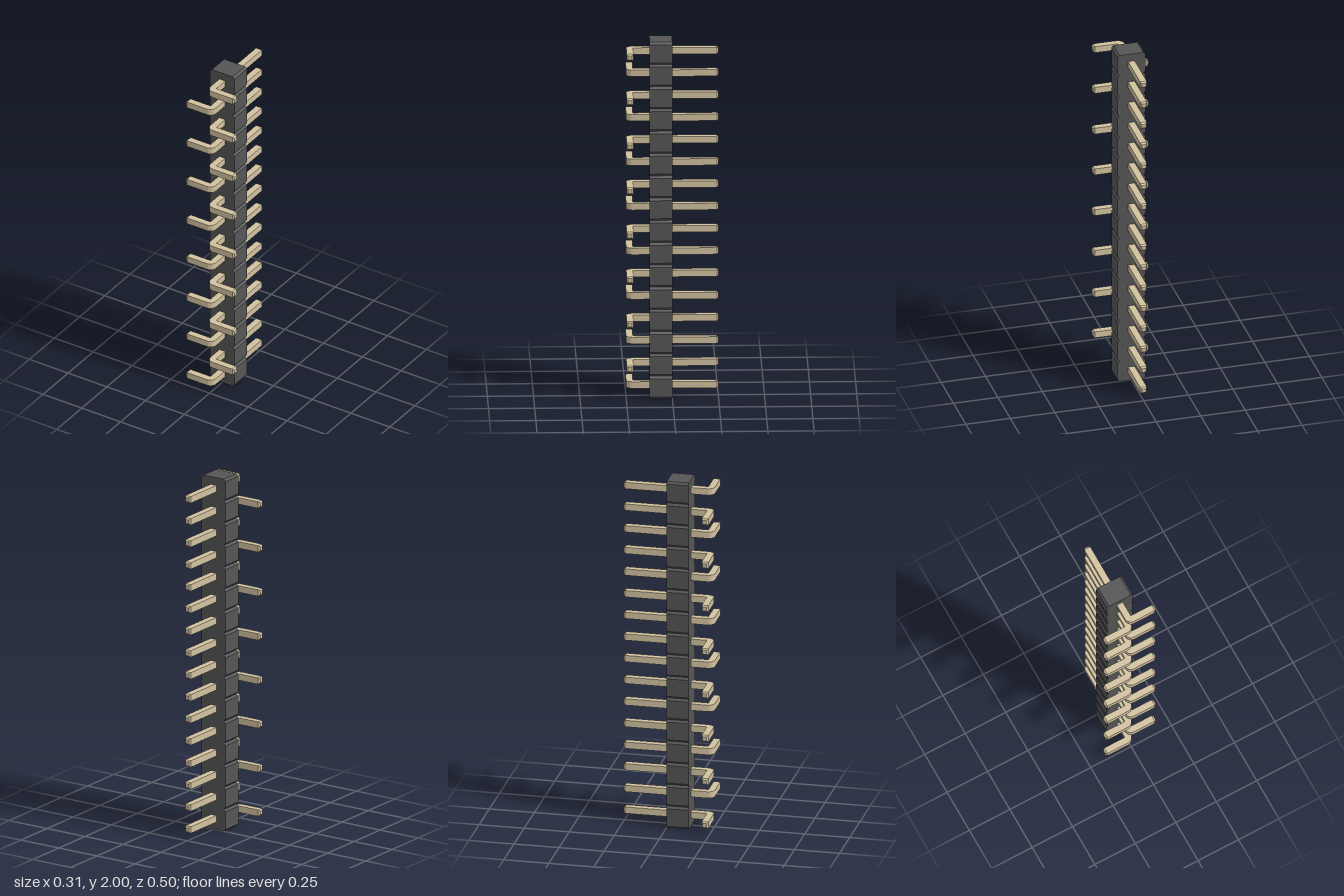
import * as THREE from 'three';
import { toCreasedNormals } from 'three/addons/utils/BufferGeometryUtils.js';

const PINS = 16, PITCH = 2 / PINS;
const BODY_HALF = 0.079, BODY_DEPTH = 0.123, CHAMFER = 0.012;
const H = 0.0185;                  // half thickness of a square pin
const BACK = -0.252, FRONT = 0.249, SIDE = 0.156, TIP = 0.01;

// Housing: chain of chamfered cells, extruded front to back
function housingGeometry() {
  const right = [];
  for (let i = 0; i < PINS; i++) {
    const y0 = i * PITCH, y1 = y0 + PITCH;
    right.push([BODY_HALF - CHAMFER, y0], [BODY_HALF, y0 + CHAMFER], [BODY_HALF, y1 - CHAMFER]);
  }
  right.push([BODY_HALF - CHAMFER, 2]);
  const left = right.map(([x, y]) => [-x, y]).reverse();
  const shape = new THREE.Shape([...right, ...left].map(([x, y]) => new THREE.Vector2(x, y)));
  return new THREE.ExtrudeGeometry(shape, { depth: BODY_DEPTH, bevelEnabled: false });
}

// Bent pin: L-shaped outline with a rounded outer corner (shape y becomes z)
function pinGeometry() {
  const inner = FRONT - 2 * H;
  const s = new THREE.Shape();
  s.moveTo(-H, BACK + TIP);
  s.lineTo(H, BACK + TIP);
  s.lineTo(H, inner);
  s.lineTo(SIDE - TIP, inner);
  s.lineTo(SIDE - TIP, FRONT);
  s.lineTo(H, FRONT);
  s.absarc(H, inner, 2 * H, Math.PI / 2, Math.PI, false);
  const g = new THREE.ExtrudeGeometry(s, { depth: 2 * H, bevelEnabled: false, curveSegments: 8 });
  g.rotateX(Math.PI / 2).translate(0, H, 0);
  return toCreasedNormals(g, 0.4);
}

// Tapered square tip pointing along +y
function tipGeometry() {
  const g = new THREE.CylinderGeometry(0.6 * H * Math.SQRT2, H * Math.SQRT2, TIP, 4);
  return toCreasedNormals(g.rotateY(Math.PI / 4), 0.4);
}

export function createModel() {
  const model = new THREE.Group();
  model.name = 'pinHeader';
  const plastic = new THREE.MeshStandardMaterial({ color: 0x555555 });
  const metal = new THREE.MeshStandardMaterial({ color: 0xd2c2a0 });

  const add = (parent, geometry, material, name) => {
    const mesh = new THREE.Mesh(geometry, material);
    mesh.name = name;
    parent.add(mesh);
    return mesh;
  };

  add(model, housingGeometry(), plastic, 'housing');

  const pinGeo = pinGeometry();
  const backTipGeo = tipGeometry().rotateX(-Math.PI / 2).translate(0, 0, BACK + TIP / 2);
  const sideTipGeo = tipGeometry().rotateZ(-Math.PI / 2).translate(SIDE - TIP / 2, 0, FRONT - H);

  // Pins alternate: half a turn about z sends the foot to the other side
  for (let i = 0; i < PINS; i++) {
    const pin = new THREE.Group();
    pin.name = `pin${i + 1}`;
    add(pin, pinGeo, metal, 'pinShaft');
    add(pin, backTipGeo, metal, 'backTip');
    add(pin, sideTipGeo, metal, 'footTip');
    pin.position.y = (i + 0.5) * PITCH;
    if (i % 2 === 0) pin.rotation.z = Math.PI;
    model.add(pin);
  }
  return model;
}
